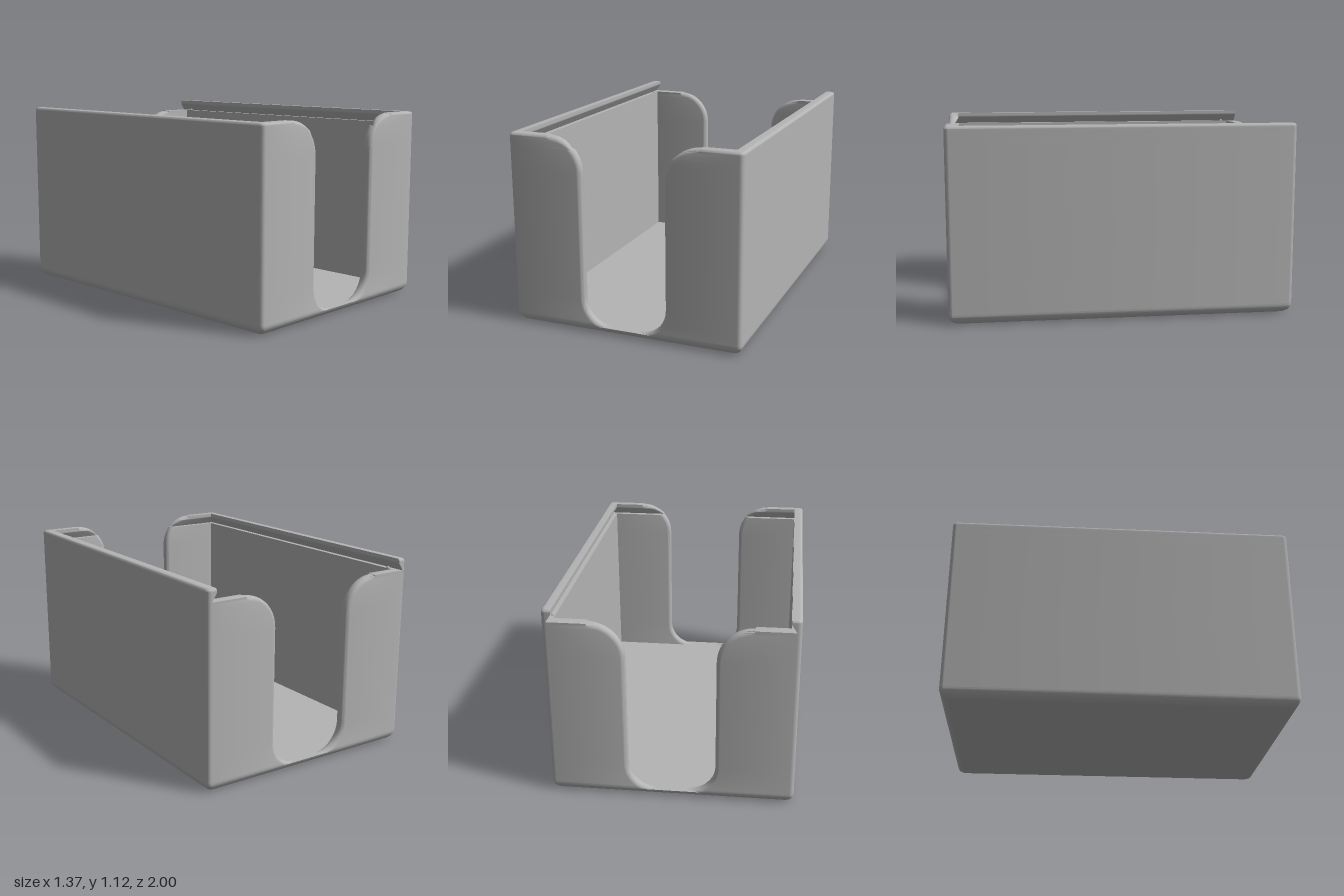
import * as THREE from 'three';
import { toCreasedNormals } from 'three/addons/utils/BufferGeometryUtils.js';

const W = 0.685, D = 1, IW = 0.63, ID = 0.94;    // outer and inner half sizes
const FLOOR = 0.04, LEDGE = 1.05, TOP = 1.12;    // heights

const arc = (n, fn) => Array.from({ length: n + 1 }, (_, i) => fn((i / n) * Math.PI / 2));
const root = (v) => Math.sqrt(Math.max(0, v));

// Inset of the outer skin: round bottom edge and softened rim
function inset(y) {
  if (y < 0.06) return 0.06 - root(0.06 ** 2 - (0.06 - y) ** 2);
  if (y > 1.105) return 0.015 - root(0.015 ** 2 - (y - 1.105) ** 2);
  return 0;
}

// Half width of the U cutout at height y, widened by d; top is the wall's height
function cutout(y, d, top) {
  const c = top - 0.2;
  if (y < 0.2) return 0.085 + root((0.16 + d) ** 2 - (0.2 - y) ** 2);
  if (y > c) return 0.445 - root((0.2 - d) ** 2 - (y - c) ** 2);
  return 0.245 + d;
}

// Rounded vertical corner, from the front or back face of side sx, sz
function corner(sx, sz, f) {
  const r = 0.025;
  return arc(5, (a) => [sx * (W - f - r + r * Math.sin(a)), sz * (D - f - r + r * Math.cos(a))]);
}

// Rounded end of a wall at the cutout, from the outer to the inner face
function wallEnd(y, sz, outer, inner, top) {
  const r = Math.min(0.025, (outer - inner) * 0.4);
  const q = arc(4, (a) => [r * (1 - Math.sin(a)), r * (1 - Math.cos(a))]);
  return [
    ...q.map(([d, t]) => [cutout(y, d, top), sz * (outer - t)]),
    ...q.reverse().map(([d, t]) => [cutout(y, d, top), sz * (inner + t)]),
  ];
}

// Solid through horizontal cross-sections of [x, z] points
function loft(heights, section) {
  const rings = heights.map((y) => section(y).map(([x, z]) => new THREE.Vector2(x, z)));
  if (THREE.ShapeUtils.area(rings[0]) < 0) rings.forEach((r) => r.reverse());
  const n = rings[0].length, last = (rings.length - 1) * n;
  const pos = rings.flatMap((ring, j) => ring.flatMap((p) => [p.x, heights[j], p.y]));
  const index = [];
  for (let j = 0; j < rings.length - 1; j++) {
    for (let i = 0; i < n; i++) {
      const k = (i + 1) % n, a = j * n + i, b = j * n + k;
      index.push(a, a + n, b, b, a + n, b + n);
    }
  }
  for (const [a, b, c] of THREE.ShapeUtils.triangulateShape(rings[0], [])) index.push(a, b, c);
  for (const [a, b, c] of THREE.ShapeUtils.triangulateShape(rings.at(-1), []))
    index.push(last + a, last + c, last + b);
  const g = new THREE.BufferGeometry();
  g.setAttribute('position', new THREE.Float32BufferAttribute(pos, 3));
  g.setIndex(index);
  return toCreasedNormals(g.toNonIndexed(), 0.6);
}

const sorted = (list, lo, hi) =>
  [...new Set([lo, hi, ...list.filter((y) => y > lo + 0.001 && y < hi - 0.001)])].sort((a, b) => a - b);

// Full rounded rectangle for the floor slab
function baseSection(y) {
  const f = inset(y);
  return [
    ...corner(1, 1, f), ...corner(1, -1, f).reverse(),
    ...corner(-1, -1, f), ...corner(-1, 1, f).reverse(),
  ];
}

// C-shaped half: front wall, side wall and back wall
function wallSection(y) {
  const f = inset(y);
  return [
    ...corner(1, 1, f), ...corner(1, -1, f).reverse(),
    ...wallEnd(y, -1, D - f, ID, LEDGE),
    [IW, -ID], [IW, ID],
    ...wallEnd(y, 1, D - f, ID, TOP).reverse(),
  ];
}

// L-shaped rim with an undercut lid groove, open at the back
function rimSection(y) {
  const f = inset(y), g = 0.03 * Math.max(0, (1.095 - y) / (1.095 - LEDGE));
  return [
    ...corner(1, 1, f), ...corner(1, -1, f).reverse(),
    [IW + g, -(D - f)], [IW + g, ID + g],
    ...wallEnd(y, 1, D - f, ID + g, TOP).reverse(),
  ];
}

export function createModel() {
  const group = new THREE.Group();
  group.name = 'cardTray';
  const grey = new THREE.MeshStandardMaterial({ color: 0xb4b4b4 });
  grey.name = 'grey plastic';
  const add = (name, geometry) => {
    const mesh = new THREE.Mesh(geometry, grey);
    mesh.name = name;
    group.add(mesh);
    return mesh;
  };

  // Floor with rounded lower edge
  add('floor', loft(arc(8, (a) => FLOOR * (1 - Math.cos(a))), baseSection));

  // Sample heights along the cutout arcs
  const curves = [
    ...arc(12, (a) => 0.2 - 0.16 * Math.cos(a)),
    ...arc(12, (a) => LEDGE - 0.2 + 0.2 * Math.sin(a)),
    ...arc(12, (a) => TOP - 0.2 + 0.2 * Math.sin(a)),
    0.06, 1.095, 1.105, 1.11, 1.115,
  ];
  const mirrored = (section, s) => (y) => section(y).map(([x, z]) => [s * x, z]);

  for (const [side, s] of [['left', 1], ['right', -1]]) {
    add(side + 'Walls', loft(sorted(curves, FLOOR, LEDGE), mirrored(wallSection, s)));
    add(side + 'Rim', loft(sorted(curves, LEDGE, TOP), mirrored(rimSection, s)));
    // Small bump that holds the sliding lid
    const bump = add(side + 'LidCatch', new THREE.SphereGeometry(0.01, 12, 8));
    bump.position.set(s * 0.642, LEDGE, -0.9);
  }
  return group;
}
